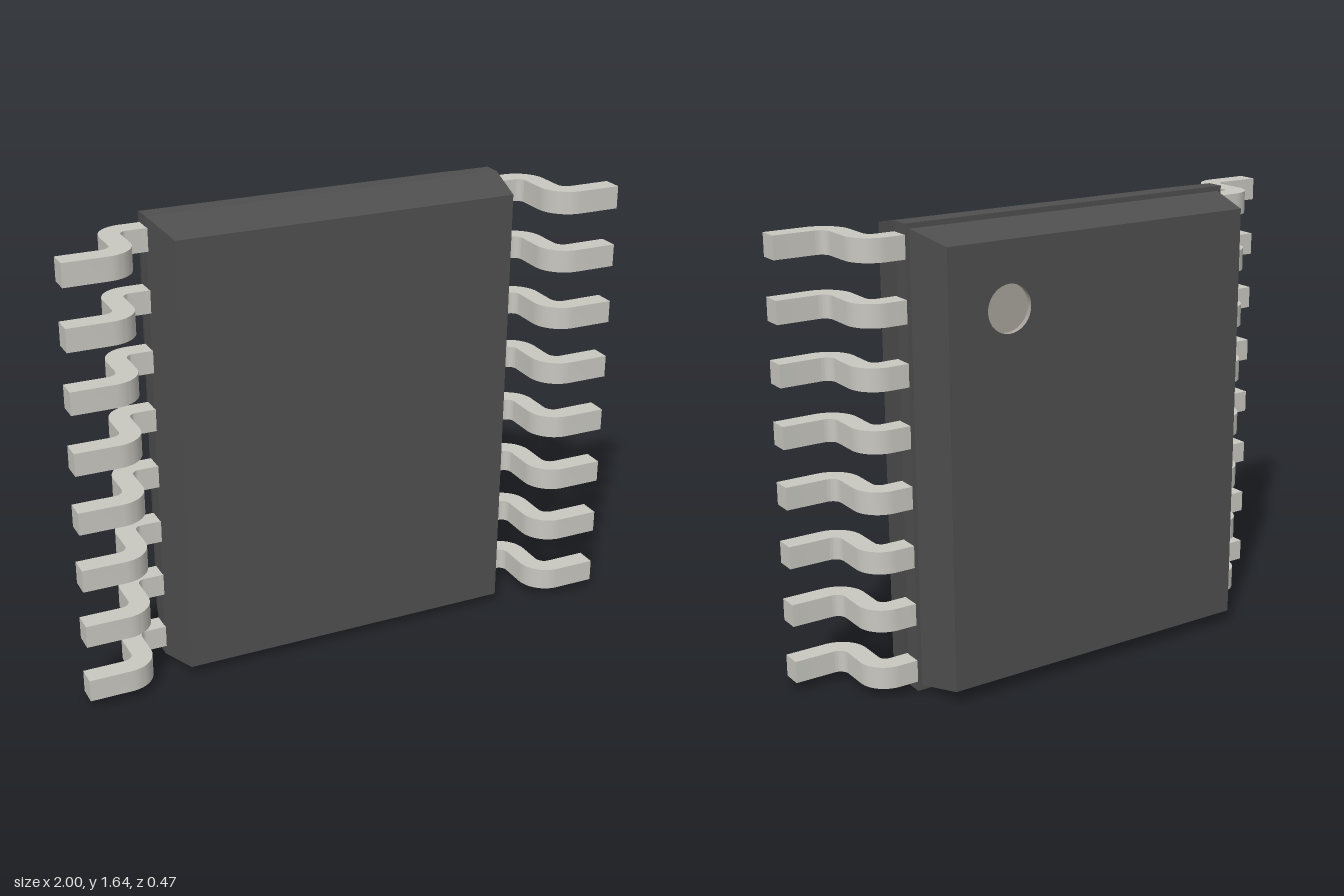
import * as THREE from 'three';
import { toCreasedNormals } from 'three/addons/utils/BufferGeometryUtils.js';

const MID_Y = 0.818;
const BACK_Z = -0.236;

// Flat-shaded shell through rectangular rings [z, half width, half height], front to back
function ringShell(rings) {
  const pos = [];
  const corners = ([z, w, h]) => [[w, -h, z], [w, h, z], [-w, h, z], [-w, -h, z]];
  for (let r = 0; r < rings.length - 1; r++) {
    const a = corners(rings[r]), b = corners(rings[r + 1]);
    for (let i = 0; i < 4; i++) {
      const j = (i + 1) % 4;
      pos.push(...a[i], ...b[i], ...b[j], ...a[i], ...b[j], ...a[j]);
    }
  }
  const geo = new THREE.BufferGeometry();
  geo.setAttribute('position', new THREE.Float32BufferAttribute(pos, 3));
  geo.computeVertexNormals();
  return geo;
}

// Gull-wing lead: bent strip profile extruded along y, centred on y = 0
function leadGeometry(width) {
  const s = new THREE.Shape();
  s.moveTo(0.64, 0.063);
  s.lineTo(0.717, 0.063);
  s.absarc(0.717, -0.037, 0.1, Math.PI / 2, 0, true);
  s.absarc(0.852, -0.129, 0.035, Math.PI, Math.PI * 1.5, false);
  s.lineTo(1, -0.164);
  s.lineTo(1, -0.236);
  s.absarc(0.85, -0.131, 0.105, Math.PI * 1.5, Math.PI, true);
  s.absarc(0.717, -0.037, 0.028, 0, Math.PI / 2, false);
  s.lineTo(0.64, -0.009);
  s.closePath();
  const geo = new THREE.ExtrudeGeometry(s, { depth: width, bevelEnabled: false, curveSegments: 8 });
  geo.translate(0, 0, -width / 2).rotateX(-Math.PI / 2);
  return toCreasedNormals(geo, 0.6);
}

export function createModel() {
  const model = new THREE.Group();
  const bodyMat = new THREE.MeshStandardMaterial({ color: 0x4f4f4f });
  const leadMat = new THREE.MeshStandardMaterial({ color: 0xc8c7c0 });
  const markMat = new THREE.MeshStandardMaterial({ color: 0xa8a49c, side: THREE.DoubleSide });

  const add = (parent, name, geo, mat) => {
    const mesh = new THREE.Mesh(geo, mat);
    mesh.name = name;
    parent.add(mesh);
    return mesh;
  };

  // Moulded body: two tapered halves with a small step at the seam
  const body = new THREE.Group();
  body.name = 'body';
  body.position.y = MID_Y;
  model.add(body);
  add(body, 'bodySides', ringShell([
    [0.177, 0.613, 0.783],
    [0, 0.648, 0.818],
    [-0.063, 0.648, 0.818],
    [-0.063, 0.632, 0.8],
    [BACK_Z, 0.597, 0.765],
  ]), bodyMat);
  add(body, 'frontFace', new THREE.PlaneGeometry(1.226, 1.566), bodyMat).position.z = 0.177;

  // Back face with a round opening for the index mark (shape x is mirrored by the turn)
  const markX = 0.367, markY = 0.537, markR = 0.083, markDepth = 0.02;
  const face = new THREE.Shape([[-1, -1], [1, -1], [1, 1], [-1, 1]]
    .map(([x, y]) => new THREE.Vector2(x * 0.597, y * 0.765)));
  face.holes.push(new THREE.Path().absarc(-markX, markY, markR, 0, Math.PI * 2, true));
  const back = add(body, 'backFace', new THREE.ShapeGeometry(face, 16), bodyMat);
  back.rotation.y = Math.PI;
  back.position.z = BACK_Z;

  // Recessed index mark
  const mark = new THREE.Group();
  mark.name = 'indexMark';
  mark.position.set(markX, markY, BACK_Z);
  body.add(mark);
  const wall = new THREE.CylinderGeometry(markR, markR, markDepth, 32, 1, true).rotateX(Math.PI / 2);
  add(mark, 'indexMarkWall', wall, markMat).position.z = markDepth / 2;
  const floor = add(mark, 'indexMarkFloor', new THREE.CircleGeometry(markR, 32), markMat);
  floor.rotation.y = Math.PI;
  floor.position.z = markDepth;

  // Eight leads along each side
  const leadGeo = leadGeometry(0.08);
  for (const side of ['left', 'right']) {
    const row = new THREE.Group();
    row.name = side + 'Leads';
    row.position.y = MID_Y;
    if (side === 'right') row.rotation.z = Math.PI;
    for (let i = 0; i < 8; i++) {
      add(row, side + 'Lead' + (i + 1), leadGeo, leadMat).position.y = (i - 3.5) * 0.212;
    }
    model.add(row);
  }
  return model;
}
